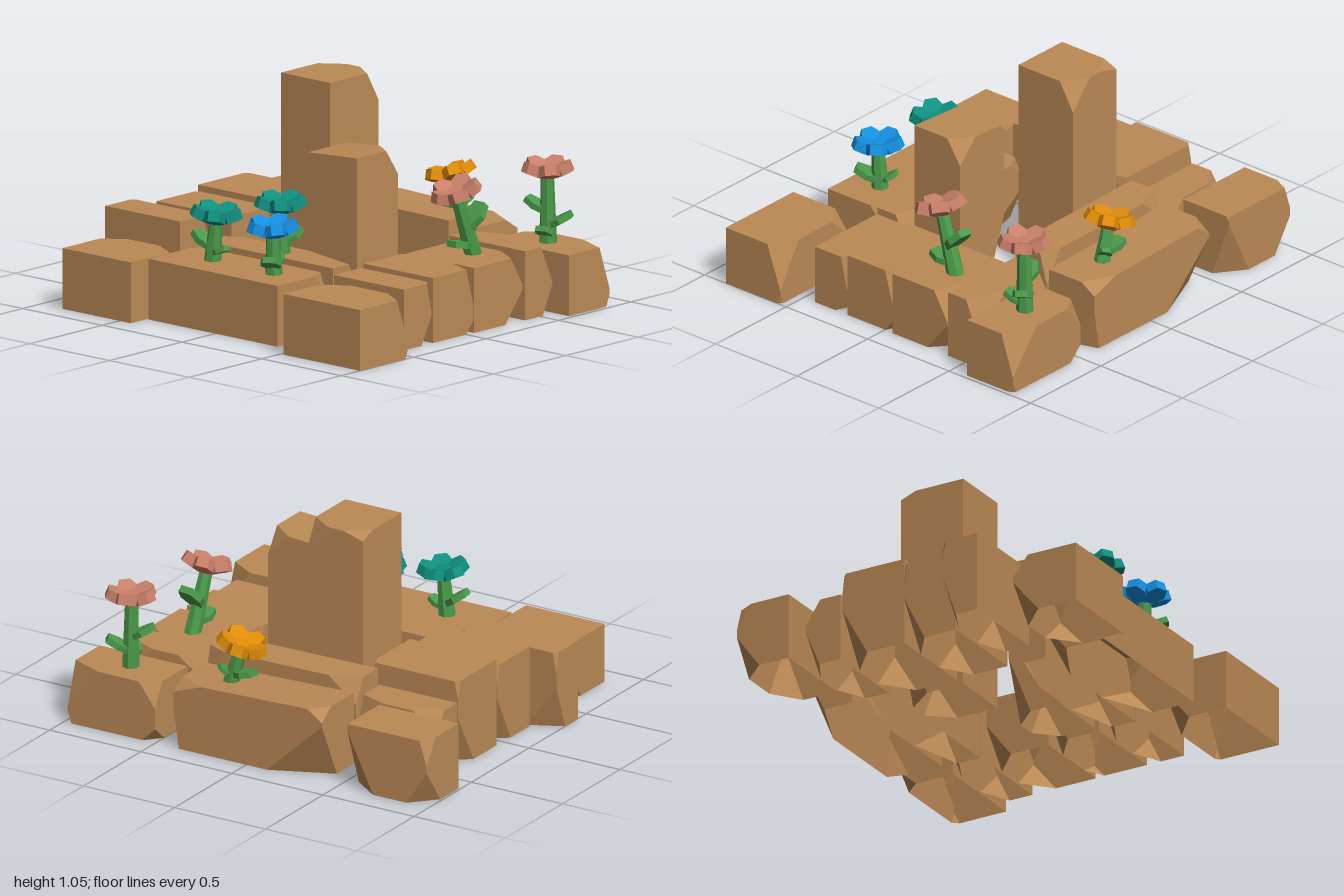
import * as THREE from 'three';
import { ConvexGeometry } from 'three/addons/geometries/ConvexGeometry.js';

const mat = (name, color, side = THREE.FrontSide) => {
  const m = new THREE.MeshStandardMaterial({ color, side, flatShading: true });
  m.name = name;
  return m;
};

export function createModel() {
  const model = new THREE.Group();
  model.name = 'rockGarden';
  const stone = mat('sandstone', 0xbc8a56, THREE.DoubleSide);
  const green = mat('stemGreen', 0x4a9a4a);
  const pink = mat('petalPink', 0xc98069);
  const teal = mat('petalTeal', 0x0f9080);
  const blue = mat('petalBlue', 0x1490e2);
  const orange = mat('petalOrange', 0xe08c08);

  // Remove the triangles lying on the ground, leaving a hollow shell
  function openBottom(geo) {
    const p = geo.attributes.position.array, kept = [];
    for (let i = 0; i < p.length; i += 9) {
      if (Math.max(p[i + 1], p[i + 4], p[i + 7]) > 1e-4) kept.push(...p.slice(i, i + 9));
    }
    const shell = new THREE.BufferGeometry();
    shell.setAttribute('position', new THREE.Float32BufferAttribute(kept, 3));
    shell.computeVertexNormals();
    return shell;
  }

  // Open-bottomed box whose four corners on the +x side are cut off.
  // hf, hb: height at front and back; cuts are [dx, dy, dz] along the edges.
  function block(name, x0, x1, z0, z1, hf, hb, topFront, topBack, lowFront, lowBack) {
    const w = x1 - x0, d = z1 - z0;
    lowFront ??= [w * 0.35, Math.max(0.03, Math.min(hf - topFront[1], hf * 0.48)) * 0.95, d * 0.32];
    lowBack ??= [w * 0.4, Math.min(hb * 0.6, hb - topBack[1]) * 0.95, d * 0.33];
    const topY = z => hb + (hf - hb) * (z - z0) / d;
    const pts = [];
    for (const z of [z0, z1]) pts.push(new THREE.Vector3(x0, 0, z), new THREE.Vector3(x0, topY(z), z));
    const corner = (z, isTop, [dx, dy, dz]) => {
      const zIn = z === z1 ? z - dz : z + dz;
      const y = isTop ? topY(z) : 0;
      pts.push(
        new THREE.Vector3(x1 - dx, y, z),
        new THREE.Vector3(x1, isTop ? y - dy : dy, z),
        new THREE.Vector3(x1, isTop ? topY(zIn) : 0, zIn)
      );
    };
    corner(z1, true, topFront);
    corner(z0, true, topBack);
    corner(z1, false, lowFront);
    corner(z0, false, lowBack);
    const mesh = new THREE.Mesh(openBottom(new ConvexGeometry(pts)), stone);
    mesh.name = name;
    model.add(mesh);
  }

  // Back row
  block('backCornerRockA', -0.88, -0.54, -0.86, -0.43, 0.29, 0.29, [0.07, 0.15, 0.13], [0.08, 0.1, 0.11]);
  block('backRockA', -0.43, -0.24, -1.0, -0.53, 0.39, 0.39, [0.05, 0.15, 0.02], [0.02, 0.1, 0.02]);
  block('backRockB', -0.23, 0.05, -0.86, -0.39, 0.4, 0.4, [0.07, 0.15, 0.02], [0.02, 0.1, 0.02]);
  block('backRockC', 0.05, 0.385, -0.855, -0.38, 0.43, 0.43, [0.06, 0.15, 0.02], [0.02, 0.1, 0.02]);
  block('backRockD', 0.395, 0.585, -0.855, -0.43, 0.33, 0.33, [0.05, 0.15, 0.14], [0.08, 0.12, 0.12]);
  block('backCornerRockB', 0.595, 0.875, -0.99, -0.555, 0.325, 0.325, [0.02, 0.02, 0.01], [0.08, 0.12, 0.04],
    [0.1, 0.29, 0.14], [0.12, 0.17, 0.11]);

  // Long rocks in the middle
  block('longRockA', -0.77, -0.43, -0.42, 0.39, 0.29, 0.29, [0.08, 0.1, 0.04], [0.03, 0.08, 0.03]);
  block('longRockB', -0.43, -0.24, -0.38, 0.43, 0.32, 0.32, [0.08, 0.17, 0.33], [0.05, 0.1, 0.08]);
  block('longRockC', 0.395, 0.585, -0.42, 0.405, 0.4, 0.41, [0.04, 0.15, 0.1], [0.06, 0.12, 0.15]);
  block('longRockD', 0.595, 0.875, -0.415, 0.4, 0.33, 0.355, [0.08, 0.05, 0.15], [0.08, 0.06, 0.08],
    [0.1, 0.2, 0.03], [0.13, 0.28, 0.3]);

  // Two tall pillars
  block('tallPillar', 0.045, 0.38, -0.33, -0.02, 1.05, 1.05, [0.08, 0.14, 0.12], [0.08, 0.03, 0.11],
    [0.12, 0.2, 0.1], [0.14, 0.3, 0.11]);
  block('shortPillar', -0.23, 0.05, 0.09, 0.4, 0.805, 0.785, [0.08, 0.12, 0.11], [0.03, 0.02, 0.03],
    [0.1, 0.2, 0.1], [0.12, 0.3, 0.11]);

  // Front row
  block('frontCornerRockA', -0.87, -0.535, 0.52, 1.0, 0.29, 0.29, [0.08, 0.22, 0.13], [0.08, 0.1, 0.12],
    [0.02, 0.06, 0.02]);
  block('frontRockA', -0.43, -0.24, 0.435, 0.875, 0.29, 0.29, [0.03, 0.14, 0.03], [0.02, 0.08, 0.02]);
  block('frontRockB', -0.23, 0.05, 0.44, 0.875, 0.31, 0.31, [0.05, 0.18, 0.13], [0.02, 0.08, 0.02], [0.05, 0.06, 0.1]);
  block('frontRockC', 0.05, 0.385, 0.45, 0.88, 0.31, 0.31, [0.08, 0.14, 0.14], [0.02, 0.08, 0.02], [0.12, 0.15, 0.14]);
  block('frontRockD', 0.395, 0.585, 0.41, 0.885, 0.33, 0.33, [0.08, 0.18, 0.19], [0.06, 0.1, 0.15]);
  block('frontCornerRockB', 0.595, 0.875, 0.5, 0.98, 0.29, 0.29, [0.07, 0.21, 0.17], [0.06, 0.12, 0.09],
    [0.03, 0.06, 0.02], [0.08, 0.07, 0.07]);

  // Flat polygon of (outward, sideways) points, extruded upward and tilted
  function plate(points, thickness, tilt) {
    const shape = new THREE.Shape(points.map(p => new THREE.Vector2(...p)));
    const g = new THREE.ExtrudeGeometry(shape, { depth: thickness, bevelEnabled: false });
    return g.rotateX(-Math.PI / 2).rotateZ(tilt);
  }
  const petalGeo = plate([[0.025, -0.022], [0.088, -0.05], [0.134, -0.028],
    [0.134, 0.028], [0.088, 0.05], [0.025, 0.022]], 0.05, 0.4);
  const leafGeo = plate([[0, -0.022], [0.075, -0.05], [0.135, -0.03],
    [0.135, 0.03], [0.075, 0.05], [0, 0.022]], 0.03, 0.5);
  // Five-sided centre with its corners between the petals
  const centreGeo = new THREE.CylinderGeometry(0.044, 0.036, 0.06, 5).rotateY(-Math.PI / 10);

  // Flower leaning from base to head; leaves are [height, heading, scale]
  function flower(name, base, head, petalMat, spin, leaves) {
    const a = new THREE.Vector3(...base), axis = new THREE.Vector3(...head).sub(a);
    const length = axis.length();
    const group = new THREE.Group();
    group.name = name;
    group.position.copy(a);
    group.quaternion.setFromUnitVectors(new THREE.Vector3(0, 1, 0), axis.normalize());
    const add = (part, geo, m, y, yaw = 0, scale = 1) => {
      const mesh = new THREE.Mesh(geo, m);
      mesh.name = part;
      mesh.position.y = y;
      mesh.rotation.y = yaw;
      mesh.scale.setScalar(scale);
      group.add(mesh);
    };
    add('stem', new THREE.CylinderGeometry(0.032, 0.043, length + 0.02, 7), green, length / 2 - 0.01);
    add('flowerCentre', centreGeo, petalMat, length + 0.03, spin);
    for (let i = 0; i < 5; i++) add('petal', petalGeo, petalMat, length - 0.01, spin + i * Math.PI * 0.4);
    for (const [y, yaw, scale] of leaves) add('leaf', leafGeo, green, y, yaw, scale);
    model.add(group);
  }

  flower('pinkFlowerRight', [0.73, 0.28, 0.725], [0.725, 0.595, 0.725], pink, 0.25,
    [[0.14, 1.9, 0.95], [0.03, 3.5, 0.85], [0.07, -1.0, 1]]);
  flower('pinkFlowerFront', [0.265, 0.3, 0.68], [0.175, 0.575, 0.665], pink, 0.3,
    [[0.12, -0.1, 1.15], [0.04, 3.1, 1]]);
  flower('orangeFlower', [0.73, 0.31, 0.18], [0.725, 0.48, 0.13], orange, 0.31,
    [[0.05, 1.5, 0.95], [0.04, -0.8, 0.7]]);
  flower('blueFlower', [-0.6, 0.28, 0.215], [-0.61, 0.465, 0.215], blue, 0.31,
    [[0.03, 3.7, 1], [0.03, 0.4, 0.75]]);
  flower('tealFlowerBack', [-0.59, 0.28, -0.18], [-0.585, 0.465, -0.165], teal, 0.0,
    [[0.05, 1.7, 1], [0.03, -1.6, 0.75]]);
  flower('tealFlowerFront', [-0.355, 0.31, 0.04], [-0.36, 0.51, 0.04], teal, 0.1,
    [[0.04, -0.2, 0.95], [0.07, 2.2, 0.7]]);

  return model;
}
